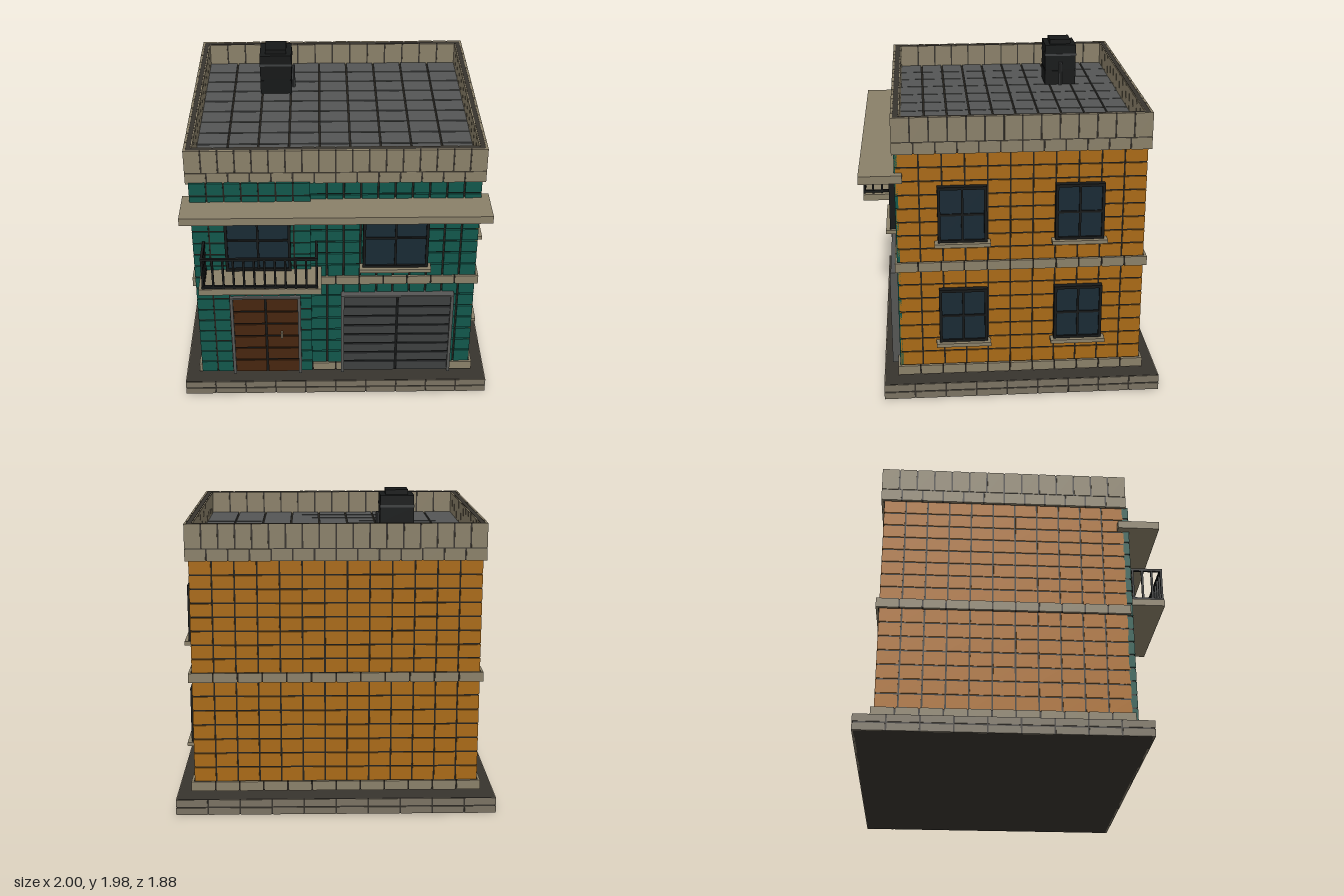
import * as THREE from 'three';
import { mergeGeometries } from 'three/addons/utils/BufferGeometryUtils.js';

const mat = (color) => new THREE.MeshStandardMaterial({ color, flatShading: true });

export function createModel() {
  const model = new THREE.Group();
  const M = {
    teal: mat(0x11574b), orange: mat(0xa96a16), stone: mat(0x8a8069), baseStone: mat(0x7a7262),
    pavement: mat(0x38342e), grout: mat(0x24211c), roof: mat(0x545655), metal: mat(0x161818),
    glass: mat(0x192a34), wood: mat(0x46260f), steel: mat(0x3d3f40), frame: mat(0x555654),
  };

  // Box geometry given by its limits
  const boxGeo = (x0, x1, y0, y1, z0, z1) =>
    new THREE.BoxGeometry(x1 - x0, y1 - y0, z1 - z0)
      .translate((x0 + x1) / 2, (y0 + y1) / 2, (z0 + z1) / 2);

  function add(parent, name, material, ...geos) {
    const mesh = new THREE.Mesh(geos.length > 1 ? mergeGeometries(geos) : geos[0], material);
    mesh.name = name;
    parent.add(mesh);
    return mesh;
  }

  function group(name, parent = model) {
    const g = new THREE.Group();
    g.name = name;
    parent.add(g);
    return g;
  }

  // Grid of separate blocks whose outer faces lie on z = 0, facing +z
  function tiles(parent, name, material, x0, x1, y0, y1, cols, rows, depth = 0.02, gap = 0.01) {
    const w = (x1 - x0) / cols, h = (y1 - y0) / rows, geos = [];
    for (let i = 0; i < cols; i++) {
      for (let j = 0; j < rows; j++) {
        const a = x0 + i * w, b = y0 + j * h;
        geos.push(boxGeo(a + (i ? gap / 2 : 0), a + w - (i < cols - 1 ? gap / 2 : 0),
          b + (j ? gap / 2 : 0), b + h - (j < rows - 1 ? gap / 2 : 0), -depth, 0));
      }
    }
    return add(parent, name, material, ...geos);
  }

  // Blocks around the outside (or, with inward, the inside) of a rectangle
  function ring(parent, name, material, [x0, x1, z0, z1], y0, y1, cx, cz, rows, sides = 'fblr', inward = false) {
    const hx = (x1 - x0) / 2, hz = (z1 - z0) / 2, mx = (x0 + x1) / 2, mz = (z0 + z1) / 2;
    const put = {
      f: [hx, cx, mx, z1, 0, 'Front'], b: [hx, cx, mx, z0, Math.PI, 'Back'],
      r: [hz, cz, x1, mz, Math.PI / 2, 'LeftSide'], l: [hz, cz, x0, mz, -Math.PI / 2, 'RightSide'],
    };
    for (const s of sides) {
      const [half, cols, x, z, turn, label] = put[s];
      const t = tiles(parent, name + label, material, -half, half, y0, y1, cols, rows, 0.014);
      t.position.set(x, 0, z);
      t.rotation.y = turn + (inward ? Math.PI : 0);
    }
  }

  // Pavement slab with two courses of edging
  const base = group('base');
  add(base, 'pavement', M.pavement, boxGeo(-0.995, 0.995, 0, 0.1, -0.935, 0.795));
  ring(base, 'edging', M.baseStone, [-1, 1, -0.94, 0.8], 0, 0.098, 10, 9, 2);

  // Walls: dark joint core, clad in blocks on two storeys
  const walls = group('walls');
  add(walls, 'wallCore', M.grout, boxGeo(-0.884, 0.884, 0.125, 1.66, -0.819, 0.684));
  const plan = [-0.89, 0.89, -0.825, 0.69];
  for (const [y0, y1, rows] of [[0.18, 0.83, 7], [0.89, 1.59, 8]]) {
    ring(walls, 'orangeBlocks', M.orange, plan, y0, y1, 13, 11, rows, 'blr');
    tiles(walls, 'tealBlocks', M.teal, -0.16, 0.89, y0, y1, 10, rows).position.z = 0.697;
  }
  add(walls, 'entranceCore', M.grout, boxGeo(-0.885, -0.16, 0.135, 1.595, 0.66, 0.719));
  tiles(walls, 'entranceBlocks', M.teal, -0.89, -0.155, 0.13, 1.6, 7, 17, 0.04).position.z = 0.725;

  // Plinth and string course
  const outer = [-0.91, 0.91, -0.845, 0.71];
  const bands = group('stoneBands');
  for (const [name, y0, y1] of [['plinth', 0.12, 0.18], ['stringCourse', 0.83, 0.89]]) {
    add(bands, name + 'Core', M.grout, boxGeo(-0.905, 0.905, y0 + 0.003, y1 - 0.003, -0.84, 0.705));
    ring(bands, name, M.stone, outer, y0, y1, 12, 11, 1);
  }

  // Parapet: hollow core, two outer courses, inner lining
  const parapet = group('parapet');
  const rect = (P, x0, x1, z0, z1) => {
    const p = new P();
    p.moveTo(x0, -z1);
    p.lineTo(x1, -z1);
    p.lineTo(x1, -z0);
    p.lineTo(x0, -z0);
    p.closePath();
    return p;
  };
  const rim = rect(THREE.Shape, -0.905, 0.905, -0.84, 0.705);
  rim.holes.push(rect(THREE.Path, -0.868, 0.868, -0.803, 0.663));
  add(parapet, 'parapetCore', M.pavement,
    new THREE.ExtrudeGeometry(rim, { depth: 0.222, bevelEnabled: false })
      .rotateX(-Math.PI / 2).translate(0, 1.593, 0));
  ring(parapet, 'lowerCourse', M.stone, outer, 1.59, 1.663, 14, 12, 1);
  ring(parapet, 'upperCourse', M.stone, outer, 1.669, 1.817, 18, 14, 1);
  ring(parapet, 'lining', M.stone, [-0.86, 0.86, -0.797, 0.655], 1.66, 1.813, 14, 12, 1, 'fblr', true);

  // Roof paving
  const roof = tiles(group('roof'), 'roofTiles', M.roof, -0.86, 0.86, -0.655, 0.797, 9, 10);
  roof.rotation.x = -Math.PI / 2;
  roof.position.y = 1.67;

  // Chimney in stacked blocks with a cap and a small side pipe
  const chimney = group('chimney');
  chimney.position.set(-0.385, 0, -0.435);
  const block = (h, y0, y1) => boxGeo(-h, h, y0, y1, -h, h);
  add(chimney, 'chimneyStack', M.metal, block(0.105, 1.665, 1.765), block(0.1, 1.765, 1.775),
    block(0.105, 1.775, 1.87), block(0.105, 1.885, 1.945), block(0.07, 1.945, 1.975));
  add(chimney, 'chimneyBand', M.steel, block(0.108, 1.87, 1.885));
  add(chimney, 'sidePipe', M.steel,
    new THREE.CylinderGeometry(0.012, 0.012, 0.16, 8).translate(0.115, 1.75, 0));

  // Canopy over the front
  add(model, 'canopy', M.stone, boxGeo(-0.94, 0.94, 1.42, 1.47, 0.65, 0.91));

  // Four-pane window, its back on z = 0, centred on x
  function windowUnit(name, w, h, sill) {
    const g = group(name), a = w / 2, t = 0.018, m = 0.007;
    add(g, 'panes', M.glass, boxGeo(-a + 0.005, a - 0.005, 0.005, h - 0.005, -0.01, 0.022));
    add(g, 'windowFrame', M.metal,
      boxGeo(-a, -a + t, 0, h, -0.01, 0.035), boxGeo(a - t, a, 0, h, -0.01, 0.035),
      boxGeo(-a + t, a - t, 0, t, -0.01, 0.035), boxGeo(-a + t, a - t, h - t, h, -0.01, 0.035),
      boxGeo(-m, m, t, h - t, 0, 0.03), boxGeo(-a + t, a - t, h / 2 - m, h / 2 + m, 0, 0.029));
    if (sill) add(g, 'sill', M.stone, boxGeo(-a - 0.02, a + 0.02, -0.022, 0.002, -0.01, 0.06));
    return g;
  }
  windowUnit('balconyWindow', 0.41, 0.45, false).position.set(-0.485, 0.97, 0.715);
  windowUnit('frontWindow', 0.41, 0.44, true).position.set(0.375, 0.98, 0.705);
  for (const y of [0.35, 1.025]) {
    for (const z of [0.295, -0.42]) {
      const w = windowUnit('sideWindow', 0.3, 0.36, true);
      w.position.set(0.895, y, z);
      w.rotation.y = Math.PI / 2;
    }
  }

  // Balcony slab and railing
  const balcony = group('balcony');
  add(balcony, 'balconySlab', M.stone, boxGeo(-0.85, -0.09, 0.922, 0.965, 0.7, 0.935));
  const bars = [], r = 0.0065, [bx0, bx1, bz0, bz1] = [-0.82, -0.12, 0.747, 0.927];
  const post = (x, z) => bars.push(boxGeo(x - r, x + r, 0.96, 1.18, z - r, z + r));
  for (let i = 0; i <= 11; i++) post(bx0 + (bx1 - bx0) * i / 11, bz1);
  for (const x of [bx0, bx1]) {
    for (let i = 0; i < 3; i++) post(x, bz0 + (bz1 - bz0) * i / 3);
  }
  for (const y of [0.98, 1.185]) {
    bars.push(boxGeo(bx0 - 0.008, bx1 + 0.008, y - 0.008, y + 0.008, bz1 - 0.008, bz1 + 0.008));
    for (const x of [bx0, bx1]) {
      bars.push(boxGeo(x - 0.008, x + 0.008, y - 0.008, y + 0.008, bz0 - 0.008, bz1 - 0.008));
    }
  }
  add(balcony, 'railing', M.metal, ...bars);

  // Slatted double door with a surrounding frame
  function doorUnit(name, x0, x1, y1, rows, material, z) {
    const g = group(name), t = 0.02, y0 = 0.13;
    add(g, 'doorCore', M.metal, boxGeo(x0 + t, x1 - t, y0, y1 - t, z - 0.04, z));
    tiles(g, 'doorPanels', material, x0 + t, x1 - t, y0 + 0.005, y1 - t, 2, rows, 0.015, 0.012).position.z = z + 0.008;
    add(g, 'doorFrame', M.frame,
      boxGeo(x0, x0 + t, y0, y1, z - 0.04, z + 0.025), boxGeo(x1 - t, x1, y0, y1, z - 0.04, z + 0.025),
      boxGeo(x0 + t, x1 - t, y1 - 0.012, y1, z - 0.04, z + 0.02));
    return g;
  }
  const door = doorUnit('frontDoor', -0.68, -0.225, 0.755, 6, M.wood, 0.727);
  add(door, 'doorHandle', M.stone, boxGeo(-0.357, -0.345, 0.43, 0.475, 0.73, 0.757));
  doorUnit('garageDoor', 0.035, 0.76, 0.76, 8, M.steel, 0.722);

  return model;
}
